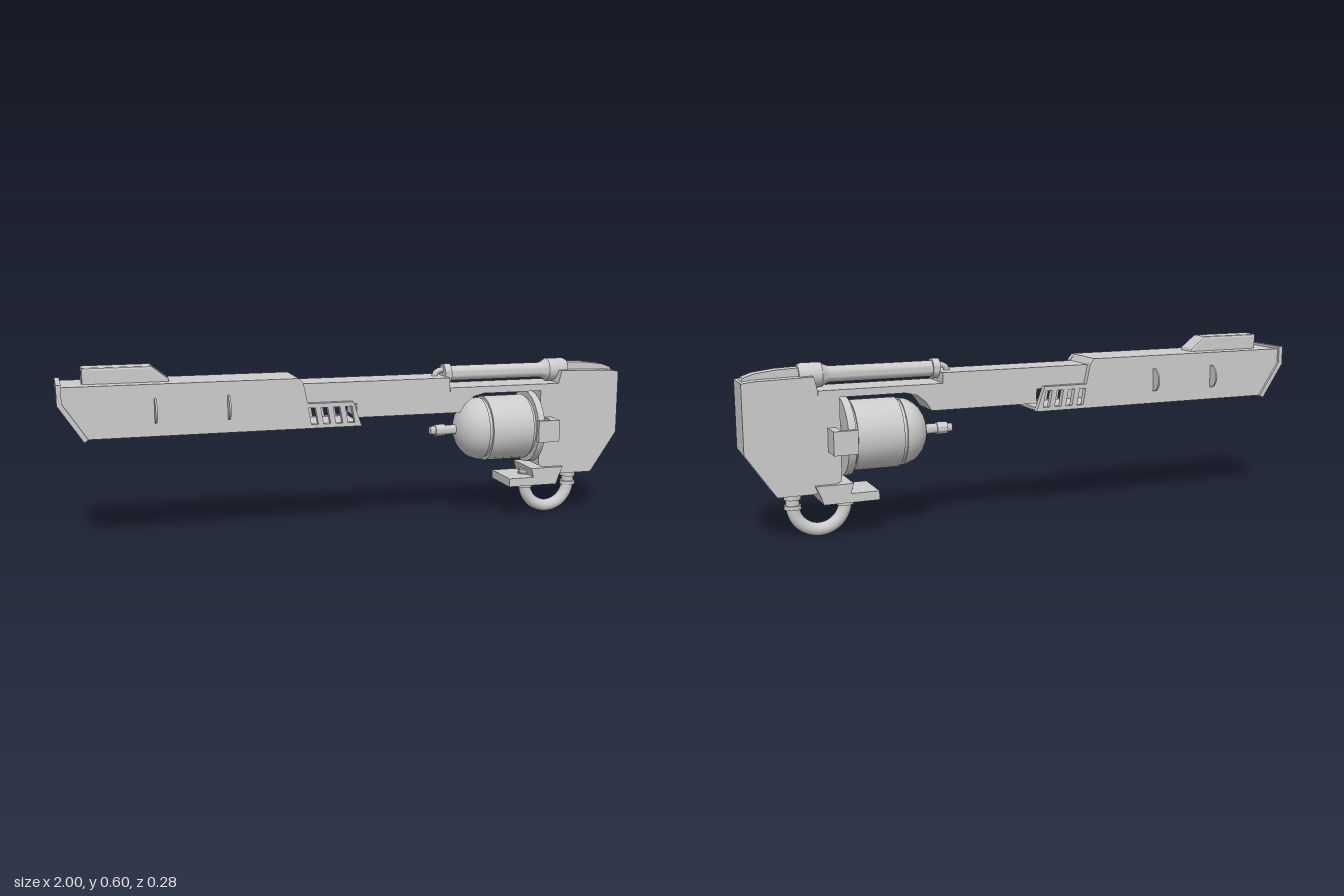
import * as THREE from 'three';
import { toCreasedNormals } from 'three/addons/utils/BufferGeometryUtils.js';

const material = new THREE.MeshStandardMaterial({ color: 0xcccccc, side: THREE.DoubleSide });

export function createModel() {
  const model = new THREE.Group();

  const add = (name, geometry, x = 0, y = 0, z = 0) => {
    const mesh = new THREE.Mesh(geometry, material);
    mesh.name = name;
    mesh.position.set(x, y, z);
    model.add(mesh);
    return mesh;
  };
  // box given by its limits
  const box = (name, x0, x1, y0, y1, z0, z1) =>
    add(name, new THREE.BoxGeometry(x1 - x0, y1 - y0, z1 - z0), (x0 + x1) / 2, (y0 + y1) / 2, (z0 + z1) / 2);
  const toShape = (pts) => new THREE.Shape(pts.map(([x, y]) => new THREE.Vector2(x, y)));
  // side profile extruded between two z values
  const plate = (name, pts, z0, z1, holes = []) => {
    const shape = toShape(pts);
    shape.holes = holes.map(toShape);
    return add(name, new THREE.ExtrudeGeometry(shape, { depth: z1 - z0, bevelEnabled: false }), 0, 0, z0);
  };
  // turned part along x, profile as [x, radius]
  const turned = (name, pts, y, sides = 24) => {
    const g = new THREE.LatheGeometry(pts.map(([x, r]) => new THREE.Vector2(r, x)), sides);
    g.rotateZ(-Math.PI / 2);
    return add(name, toCreasedNormals(g, 0.55), 0, y, 0);
  };

  // Receiver, barrel and stock in one profile
  plate('receiver', [
    [-0.25, 0.45], [0, 0.45], [0, 0.4], [0.38, 0.4], [0.4, 0.43], [0.43, 0.455], [0.47, 0.465],
    [0.69, 0.465], [0.69, 0.19], [0.78, 0.155], [0.9, 0.155], [0.998, 0.3], [0.998, 0.525],
    [0.96, 0.53], [0.77, 0.535], [0.76, 0.49], [0.34, 0.49], [0.34, 0.525], [-0.25, 0.525],
  ], -0.064, 0.064);
  box('tubeLedge', 0.34, 0.76, 0.475, 0.49, -0.068, 0.068);

  // Hollow front shroud: side walls with slanted vents, roof and floor
  const vents = [];
  for (let i = 0; i < 4; i++) {
    const x = -0.178 + i * 0.043;
    vents.push([[x, 0.445], [x + 0.024, 0.445], [x + 0.034, 0.388], [x + 0.01, 0.388]]);
  }
  const wall = [
    [-0.985, 0.547], [-0.21, 0.547], [-0.195, 0.53], [-0.18, 0.46], [-0.02, 0.46],
    [0.01, 0.375], [-0.915, 0.375], [-0.985, 0.49],
  ];
  plate('shroudWallLeft', wall, 0.068, 0.089, vents);
  plate('shroudWallRight', wall, -0.089, -0.068, vents);
  plate('shroudRoof', [[-0.985, 0.525], [-0.195, 0.525], [-0.21, 0.547], [-0.985, 0.547]], -0.068, 0.068);
  box('shroudFloor', -0.915, 0.005, 0.375, 0.386, -0.068, 0.068);

  // Muzzle frame: upright upper half and sloped lower half around an opening
  const frame = (name, pts, angle) => {
    const g = new THREE.ExtrudeGeometry(toShape(pts), { depth: 0.016, bevelEnabled: false });
    g.rotateY(Math.PI / 2);
    g.rotateZ(angle);
    add(name, g, -1, 0.49, 0);
  };
  frame('muzzleFrameUpper', [
    [-0.098, 0], [-0.05, 0], [-0.035, 0.04], [0.035, 0.04], [0.05, 0], [0.098, 0], [0.098, 0.066], [-0.098, 0.066],
  ], 0);
  frame('muzzleFrameLower', [
    [-0.098, 0], [-0.098, -0.147], [0.098, -0.147], [0.098, 0], [0.05, 0], [0.035, -0.11], [-0.035, -0.11], [-0.05, 0],
  ], Math.atan2(0.08, 0.122));

  // Thin round fins on the shroud sides
  for (const x of [-0.69, -0.45]) {
    for (const s of [-1, 1]) {
      const g = new THREE.CylinderGeometry(0.041, 0.041, 0.006, 28);
      g.rotateZ(Math.PI / 2);
      add('sideFin', g, x, 0.46, s * 0.088);
    }
  }

  // Front top block with sloped rear and softened corners
  const block = new THREE.ExtrudeGeometry(
    toShape([[-0.91, 0.54], [-0.64, 0.54], [-0.645, 0.553], [-0.695, 0.592], [-0.91, 0.592]]),
    { depth: 0.06, bevelSize: 0.008, bevelThickness: 0.008, bevelSegments: 2 });
  add('topBlock', block, 0, 0, -0.03);

  // Cheek ridge on the stock
  plate('stockRidge', [
    [0.78, 0.53], [0.99, 0.525], [0.985, 0.537], [0.95, 0.549], [0.88, 0.558], [0.8, 0.561],
  ], -0.023, 0.023);

  // Upper tube with collars and bent feed pipe
  turned('upperTube', [
    [0.335, 0], [0.335, 0.034], [0.36, 0.034], [0.36, 0.027], [0.71, 0.027], [0.725, 0.034],
    [0.735, 0.041], [0.8, 0.041], [0.81, 0.036], [0.81, 0],
  ], 0.533);
  const feed = new THREE.CatmullRomCurve3([
    new THREE.Vector3(0.35, 0.545, 0), new THREE.Vector3(0.325, 0.545, 0),
    new THREE.Vector3(0.308, 0.535, 0), new THREE.Vector3(0.302, 0.515, 0),
  ]);
  add('feedPipe', new THREE.TubeGeometry(feed, 12, 0.01, 10));

  // Tank: nozzle, dome, grooved body and rear ring
  const tank = [[0.29, 0], [0.29, 0.014], [0.308, 0.016], [0.308, 0.021], [0.345, 0.021], [0.345, 0.017], [0.386, 0.017]];
  for (let i = 1; i <= 8; i++) {
    const a = (i / 8) * Math.PI / 2;
    tank.push([0.478 - 0.093 * Math.cos(a), 0.113 * Math.sin(a)]);
  }
  tank.push([0.478, 0.107], [0.49, 0.107], [0.49, 0.117], [0.645, 0.117], [0.645, 0.11], [0.655, 0.11],
    [0.655, 0.131], [0.68, 0.131], [0.68, 0.05], [0.7, 0.05]);
  turned('tank', tank, 0.328);

  // Clamp reaching round both sides of the tank
  box('clampBar', 0.705, 0.732, 0.29, 0.368, -0.139, 0.139);
  for (const s of [-1, 1]) {
    box('clampArm', 0.652, 0.732, 0.29, 0.368, s * 0.13 - 0.009, s * 0.13 + 0.009);
  }

  // Stepped bracket under the stock
  plate('lowerBracket', [
    [0.57, 0.12], [0.755, 0.12], [0.765, 0.15], [0.78, 0.183], [0.655, 0.183], [0.665, 0.15], [0.57, 0.15],
  ], -0.079, 0.079);

  // Rounded handle loop with end collars
  const loop = new THREE.TorusGeometry(0.087, 0.022, 16, 32, Math.PI);
  loop.rotateZ(Math.PI);
  add('handleLoop', loop, 0.753, 0.109, 0);
  for (const x of [0.666, 0.84]) {
    add('handleStem', new THREE.CylinderGeometry(0.022, 0.022, 0.06, 16), x, 0.135, 0);
    add('handleCollar', new THREE.CylinderGeometry(0.028, 0.028, 0.014, 16), x, 0.105, 0);
    add('handleCollar', new THREE.CylinderGeometry(0.028, 0.028, 0.022, 16), x, 0.142, 0);
  }

  return model;
}
